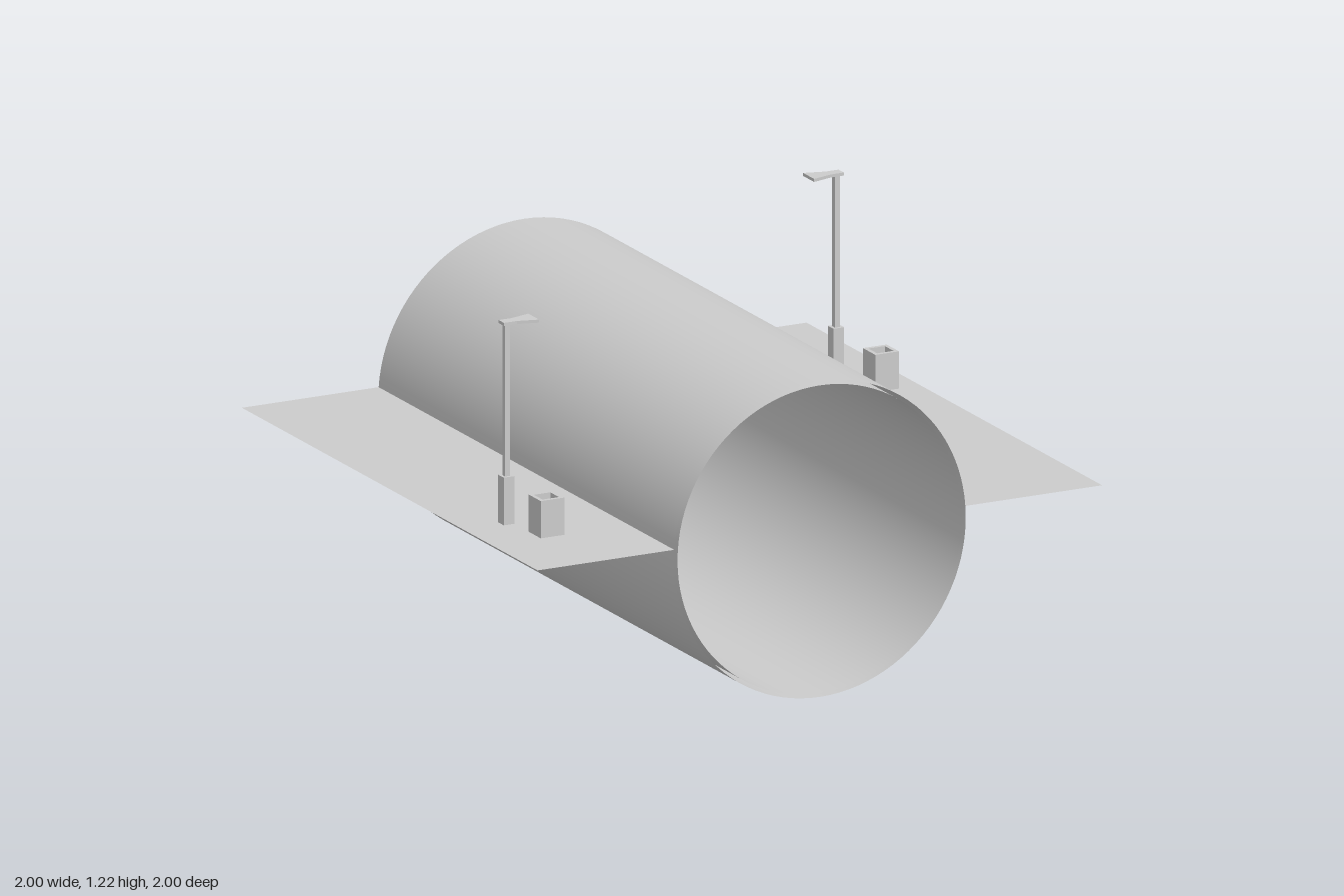
import * as THREE from 'three';

const material = new THREE.MeshStandardMaterial({ color: 0xcccccc, side: THREE.DoubleSide });
const RADIUS = 0.517;
const GROUND = 0.554;

function add(parent, name, geometry, x = 0, y = 0, z = 0) {
  const mesh = new THREE.Mesh(geometry, material);
  mesh.name = name;
  mesh.position.set(x, y, z);
  parent.add(mesh);
  return mesh;
}

function shapeFrom(points) {
  return new THREE.Shape(points.map(([x, y]) => new THREE.Vector2(x, y)));
}

// Street lamp whose head reaches towards -x
function createLamp() {
  const lamp = new THREE.Group();
  lamp.name = 'streetLamp';
  add(lamp, 'lampBase', new THREE.BoxGeometry(0.038, 0.158, 0.038), 0, 0.077, 0);
  add(lamp, 'lampPole', new THREE.BoxGeometry(0.018, 0.5, 0.018), 0, 0.405, 0);
  // Flat head flaring out towards its free end
  const outline = shapeFrom([
    [0.018, -0.018], [0.018, 0.018], [-0.028, 0.018],
    [-0.097, 0.037], [-0.097, -0.037], [-0.028, -0.018],
  ]);
  const head = new THREE.ExtrudeGeometry(outline, { depth: 0.01, bevelEnabled: false });
  head.rotateX(-Math.PI / 2);
  add(lamp, 'lampHead', head, 0, 0.653, 0);
  return lamp;
}

// Square bin with an open top
function createBin() {
  const bin = new THREE.Group();
  bin.name = 'litterBin';
  const o = 0.042, i = 0.029;
  const outline = shapeFrom([[-o, -o], [o, -o], [o, o], [-o, o]]);
  outline.holes.push(shapeFrom([[-i, -i], [-i, i], [i, i], [i, -i]]));
  const walls = new THREE.ExtrudeGeometry(outline, { depth: 0.122, bevelEnabled: false });
  walls.rotateX(-Math.PI / 2);
  add(bin, 'binWalls', walls);
  add(bin, 'binFloor', new THREE.BoxGeometry(2 * i, 0.01, 2 * i), 0, 0.005, 0);
  return bin;
}

export function createModel() {
  const model = new THREE.Group();
  model.name = 'tunnelWithWalkways';

  // Tunnel: outer and inner shells, open at both ends
  for (const [name, r] of [['tunnelOuterShell', RADIUS], ['tunnelInnerShell', RADIUS - 0.013]]) {
    const shell = new THREE.CylinderGeometry(r, r, 2, 96, 1, true);
    shell.rotateX(Math.PI / 2);
    add(model, name, shell, 0, RADIUS, 0);
  }

  // Thin ground sheets on either side
  const inner = Math.sqrt(RADIUS ** 2 - (GROUND - RADIUS) ** 2);
  for (const side of [-1, 1]) {
    const sheet = new THREE.PlaneGeometry(1 - inner, 2);
    sheet.rotateX(-Math.PI / 2);
    add(model, side > 0 ? 'leftGround' : 'rightGround', sheet, side * (1 + inner) / 2, GROUND, 0);
  }

  // Lamps and bins, one of each per side
  const places = [
    { x: 0.822, lampZ: -0.46, binZ: -0.156, turn: 0 },
    { x: -0.847, lampZ: 0.497, binZ: 0.768, turn: Math.PI },
  ];
  for (const { x, lampZ, binZ, turn } of places) {
    const lamp = createLamp();
    lamp.position.set(x, GROUND, lampZ);
    lamp.rotation.y = turn;
    const bin = createBin();
    bin.position.set(x, 0.593, binZ);
    model.add(lamp, bin);
  }
  return model;
}
